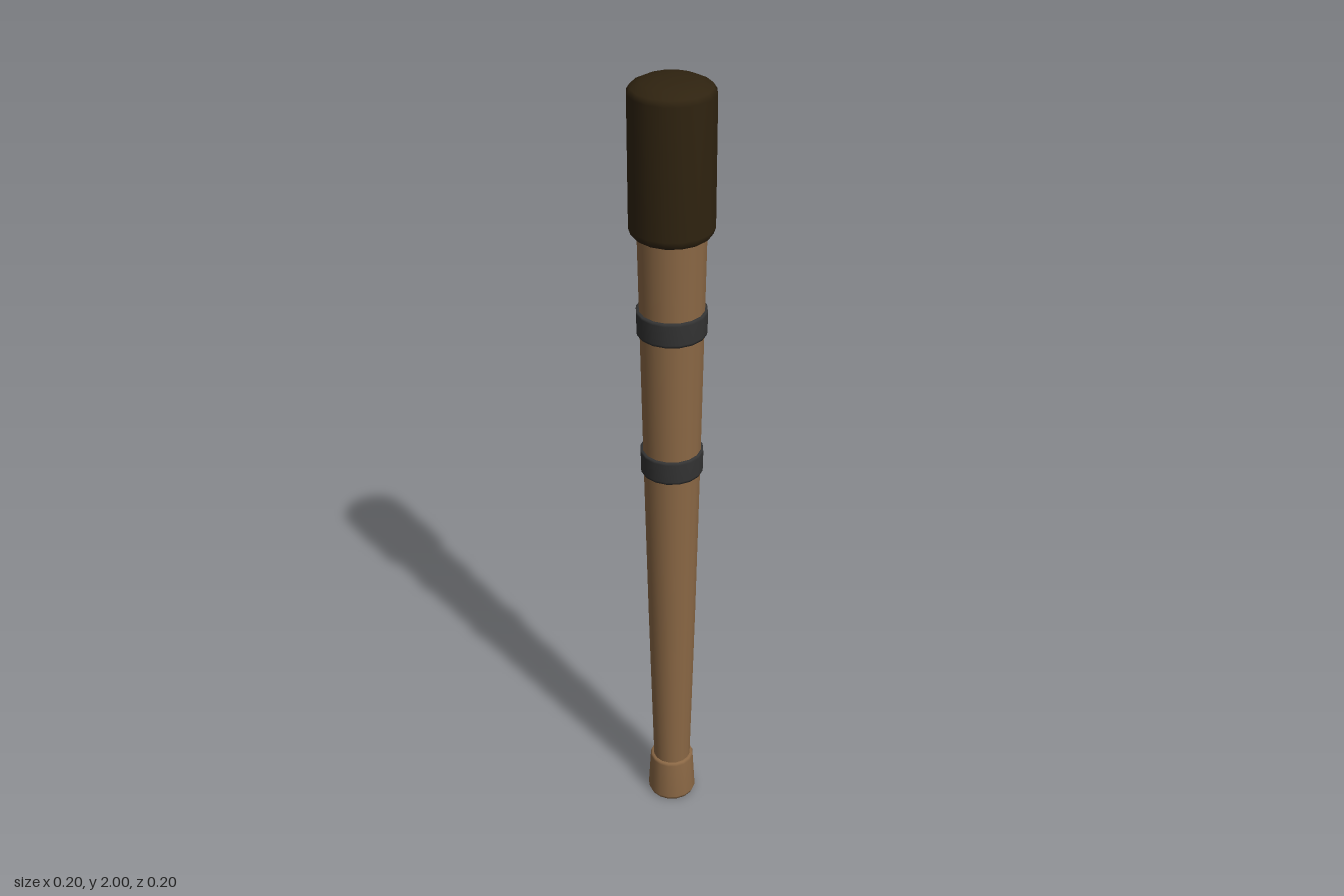
import * as THREE from 'three';

const SIDES = 16;

export function createModel() {
  const model = new THREE.Group();
  model.name = 'torch';

  const material = (name, color) => {
    const m = new THREE.MeshStandardMaterial({ color });
    m.name = name;
    return m;
  };
  const wood = material('wood', 0x8b6845);
  const iron = material('dark iron', 0x333333);
  const wrap = material('charred wrap', 0x2f2310);

  // Turned part from [radius, height] pairs, listed bottom to top
  const turned = (name, profile, mat) => {
    const points = profile.map(([r, y]) => new THREE.Vector2(r, y));
    const mesh = new THREE.Mesh(new THREE.LatheGeometry(points, SIDES), mat);
    mesh.name = name;
    model.add(mesh);
  };

  // Tapered handle
  turned('shaft', [[0.048, 0.1], [0.06, 0.6], [0.069, 1.05], [0.075, 1.4], [0.08, 1.68]], wood);

  // Flared foot with a softened lower edge
  turned('pommel', [[0, 0], [0.059, 0], [0.063, 0.01], [0.057, 0.115], [0.054, 0.122], [0.045, 0.122]], wood);

  // Metal rings around the shaft
  for (const [name, y, r] of [['lowerBand', 1.06, 0.075], ['upperBand', 1.431, 0.082]]) {
    turned(name, [[r - 0.012, y - 0.03], [r - 0.001, y - 0.03], [r, y - 0.024],
      [r + 0.001, y + 0.024], [r, y + 0.03], [r - 0.012, y + 0.03]], iron);
  }

  // Wrapped head with bevelled rims and a shallow crown
  turned('head', [[0, 1.646], [0.086, 1.646], [0.093, 1.652], [0.098, 1.667],
    [0.098, 1.97], [0.09, 1.982], [0.068, 1.993], [0.035, 1.999], [0, 2]], wrap);

  return model;
}
